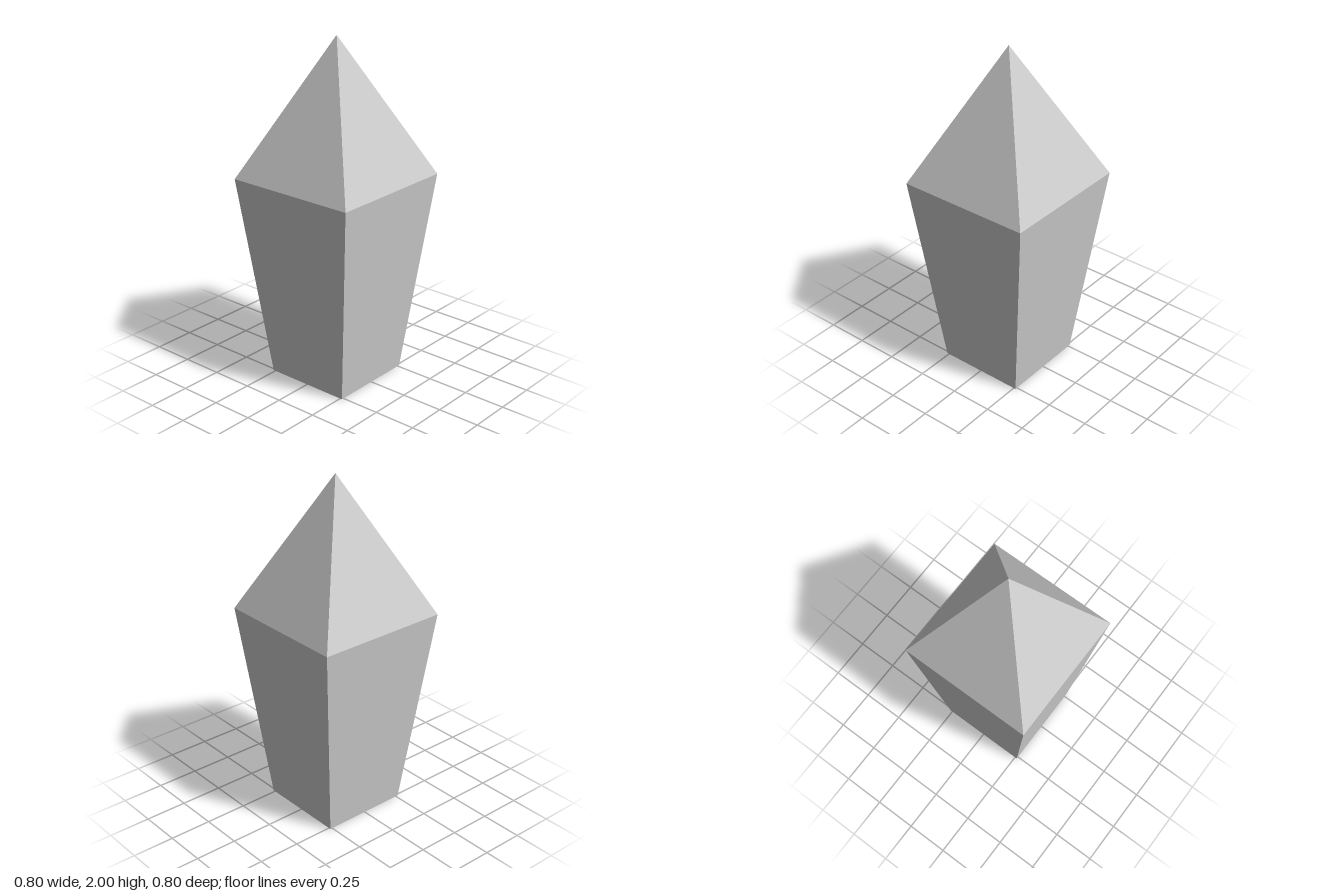
import * as THREE from 'three';

// Square frustum with flat sides facing the axes; sizes are half-widths.
function squareFrustum(name, topHalf, bottomHalf, y0, y1, material) {
  const geometry = new THREE.CylinderGeometry(
    topHalf * Math.SQRT2, bottomHalf * Math.SQRT2, y1 - y0, 4, 1);
  geometry.rotateY(Math.PI / 4);
  geometry.translate(0, (y0 + y1) / 2, 0);
  const mesh = new THREE.Mesh(geometry, material);
  mesh.name = name;
  return mesh;
}

export function createModel() {
  const group = new THREE.Group();
  group.name = 'crystal';
  const material = new THREE.MeshStandardMaterial({ color: 0xcccccc, flatShading: true });

  // Tapered shaft, narrower at the base
  group.add(squareFrustum('shaft', 0.4, 0.263, 0, 1.2, material));
  // Pyramid point
  group.add(squareFrustum('tip', 0, 0.4, 1.2, 2, material));

  return group;
}
